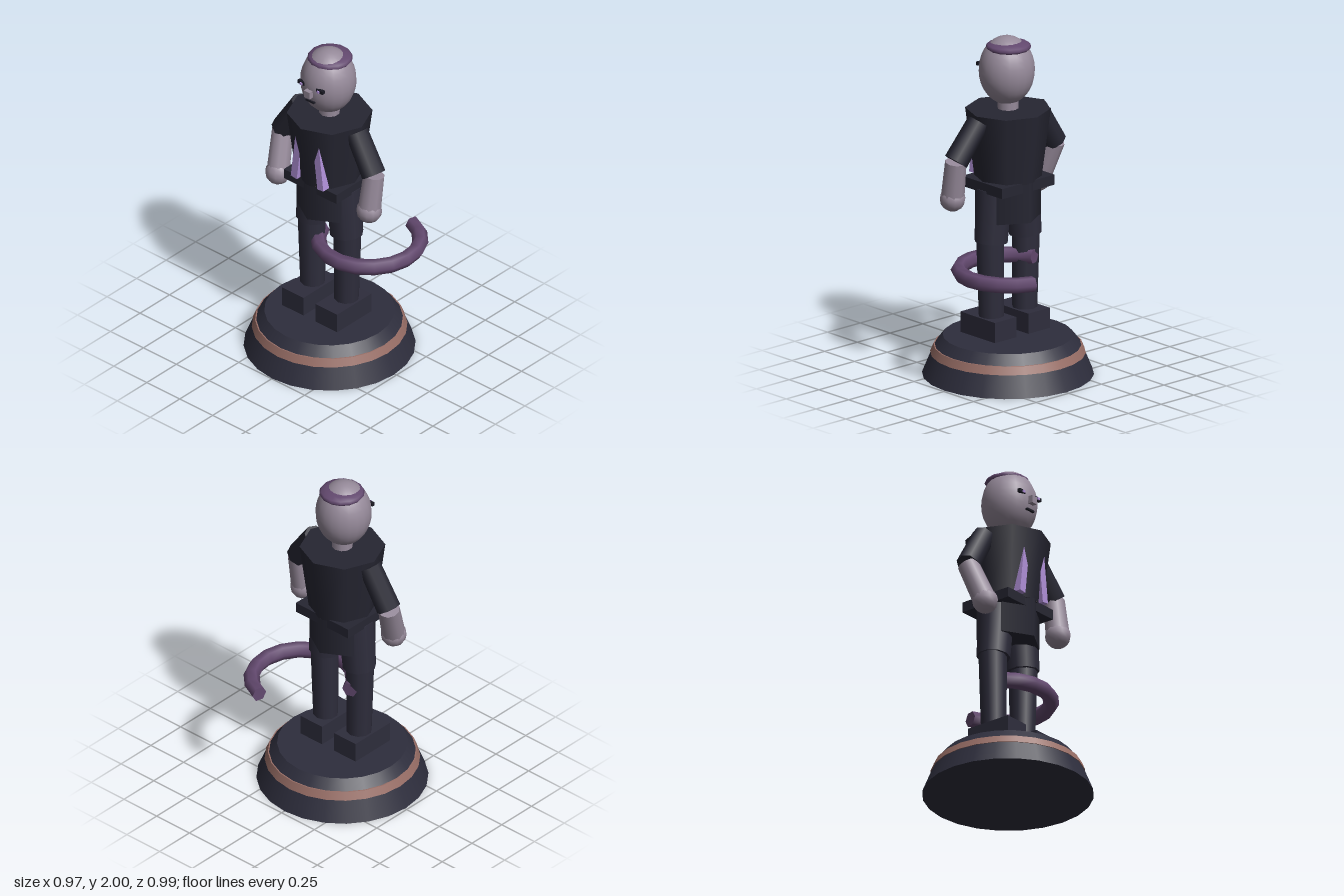
import * as THREE from 'three';

const mat = (name, color) => {
  const m = new THREE.MeshStandardMaterial({ color });
  m.name = name;
  return m;
};

export function createModel() {
  const group = new THREE.Group();
  const M = {
    stone: mat('stone', 0x2e2e3d),
    cloth: mat('cloth', 0x262632),
    trousers: mat('trousers', 0x2e2d3c),
    skin: mat('skin', 0x968a9a),
    purple: mat('purple', 0x63496f),
    lilac: mat('lilac', 0xb090d8),
    copper: mat('copper', 0x986e66),
    ink: mat('ink', 0x1a1a24),
  };
  const CZ = 0.01; // depth of the body axis

  const add = (name, geo, material, x = 0, y = 0, z = 0) => {
    const mesh = new THREE.Mesh(geo, material);
    mesh.name = name;
    mesh.position.set(x, y, z);
    group.add(mesh);
    return mesh;
  };
  const box = (name, w, h, d, material, x, y, z) =>
    add(name, new THREE.BoxGeometry(w, h, d), material, x, y, z);
  // upright tapered cylinder between two heights
  const drum = (name, r0, r1, y0, y1, sides, material, x = 0, z = CZ) =>
    add(name, new THREE.CylinderGeometry(r1, r0, y1 - y0, sides), material, x, (y0 + y1) / 2, z);
  // tapered cylinder between two points
  const limb = (name, a, b, ra, rb, material, sides = 8) => {
    const p = new THREE.Vector3(...a), q = new THREE.Vector3(...b);
    const dir = p.clone().sub(q);
    const mesh = add(name, new THREE.CylinderGeometry(ra, rb, dir.length(), sides), material);
    mesh.position.copy(p).add(q).multiplyScalar(0.5);
    mesh.quaternion.setFromUnitVectors(new THREE.Vector3(0, 1, 0), dir.normalize());
    return mesh;
  };

  // round plinth with a copper band
  drum('plinthLower', 0.487, 0.436, 0, 0.126, 24, M.stone);
  drum('plinthBand', 0.441, 0.422, 0.126, 0.172, 24, M.copper);
  drum('plinthTop', 0.415, 0.37, 0.172, 0.23, 24, M.stone);

  // feet and legs
  for (const s of [-1, 1]) {
    box('foot', 0.164, 0.12, 0.29, M.trousers, s * 0.128, 0.31, 0.035);
    limb('lowerLeg', [s * 0.136, 0.82, CZ], [s * 0.128, 0.36, CZ], 0.081, 0.072, M.trousers, 10);
    limb('upperLeg', [s * 0.105, 1.12, CZ], [s * 0.13, 0.81, CZ], 0.105, 0.096, M.trousers, 10);
  }

  // hips, belt and torso
  drum('hips', 0.19, 0.192, 0.935, 1.17, 6, M.cloth);
  box('belt', 0.4, 0.06, 0.335, M.cloth, 0, 1.145, 0.007);
  box('buckle', 0.096, 0.022, 0.04, M.copper, 0, 1.179, 0.161);
  drum('torso', 0.19, 0.243, 1.165, 1.575, 8, M.cloth);
  for (const s of [-1, 1]) {
    const stripe = box('lapel', 0.046, 0.3, 0.05, M.lilac, s * 0.083, 1.325, 0.176);
    stripe.rotation.z = s * 0.12;
  }

  // arms, each posed by shoulder, elbow and hand
  const arms = [
    { shoulder: [-0.212, 1.535, 0.005], elbow: [-0.355, 1.305, 0.01], hand: [-0.312, 1.07, 0.098] },
    { shoulder: [0.215, 1.535, 0.02], elbow: [0.367, 1.325, 0.045], hand: [0.362, 1.098, 0.078] },
  ];
  for (const a of arms) {
    limb('sleeve', a.shoulder, a.elbow, 0.066, 0.07, M.cloth);
    limb('forearm', a.elbow, a.hand, 0.062, 0.068, M.skin, 10);
    add('hand', new THREE.SphereGeometry(0.074, 12, 8), M.skin, ...a.hand);
  }

  // neck and head
  drum('neck', 0.06, 0.06, 1.56, 1.65, 10, M.skin);
  add('head', new THREE.SphereGeometry(0.16, 20, 16), M.skin, 0, 1.8, 0.02).scale.y = 1.25;
  add('hair', new THREE.SphereGeometry(0.13, 14, 8), M.purple, 0, 1.942, 0.006).scale.y = 0.27;

  // face
  box('nose', 0.042, 0.045, 0.045, M.skin, 0, 1.782, 0.182);
  box('mouth', 0.062, 0.01, 0.02, M.ink, 0, 1.725, 0.169);
  for (const s of [-1, 1]) {
    box('eye', 0.05, 0.02, 0.02, M.ink, s * 0.07, 1.82, 0.166);
    box('iris', 0.016, 0.014, 0.008, M.lilac, s * 0.065, 1.818, 0.18);
  }

  // tail curling round the legs
  const tail = new THREE.TorusGeometry(0.29, 0.046, 6, 12, 4.12);
  tail.rotateZ(-1.31).rotateX(Math.PI / 2);
  const tailMat = M.purple;
  add('tail', tail, tailMat, 0.145, 0.685, -0.165);
  // closed tail ends
  for (const [angle, turn] of [[-1.31, 1], [-1.31 + 4.12, -1]]) {
    const cap = add('tailEnd', new THREE.CircleGeometry(0.046, 6), tailMat,
      0.145 + 0.29 * Math.cos(angle), 0.685, -0.165 + 0.29 * Math.sin(angle));
    // face outward along the tangent
    cap.lookAt(cap.position.x + turn * Math.sin(angle), 0.685, cap.position.z - turn * Math.cos(angle));
  }

  return group;
}
